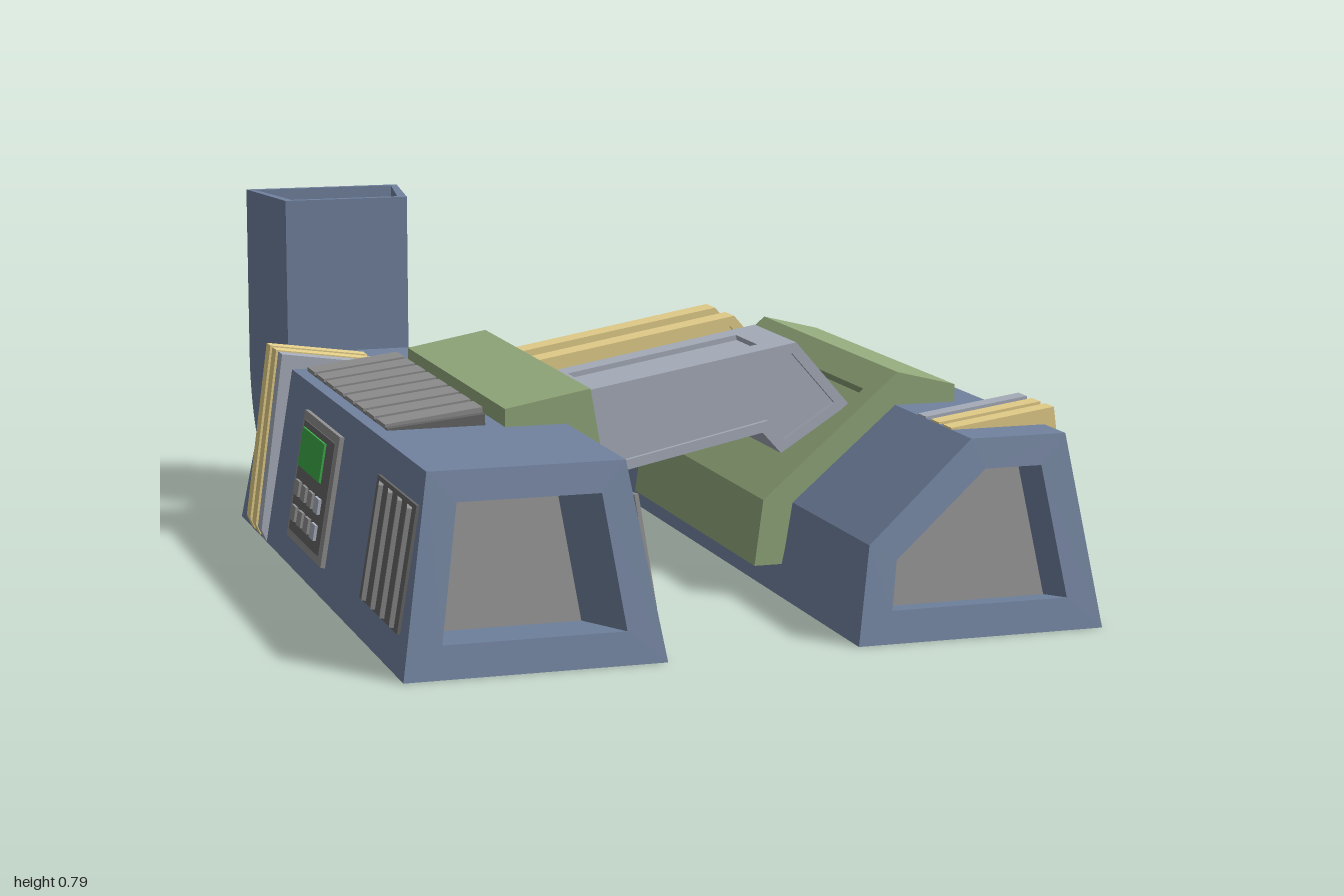
import * as THREE from 'three';

const HULL = 0x7183a0, DARK = 0x5f6c84, GREY = 0xa9b0bd, STEEL = 0x8f8f8f, VENT = 0x666666;
const GREEN = 0x93aa7c, YELLOW = 0xe8d28c, SCREEN = 0x3fae49;

function add(parent, name, geometry, color) {
  const material = new THREE.MeshStandardMaterial({ color, flatShading: true, side: THREE.DoubleSide });
  const mesh = new THREE.Mesh(geometry, material);
  mesh.name = name;
  parent.add(mesh);
  return mesh;
}

function group(parent, name) {
  const g = new THREE.Group();
  g.name = name;
  parent.add(g);
  return g;
}

function box(parent, name, color, size, pos) {
  const m = add(parent, name, new THREE.BoxGeometry(...size), color);
  m.position.set(...pos);
  return m;
}

// Convex polygons (lists of [x, y, z]) to a flat-shaded geometry
function polygons(faces) {
  const pos = [];
  for (const f of faces)
    for (let i = 1; i < f.length - 1; i++) pos.push(...f[0], ...f[i], ...f[i + 1]);
  const geo = new THREE.BufferGeometry();
  geo.setAttribute('position', new THREE.Float32BufferAttribute(pos, 3));
  geo.computeVertexNormals();
  return geo;
}

// Quads joining two rings of equal length
const bridge = (a, b) => a.map((p, i) => {
  const j = (i + 1) % a.length;
  return [p, a[j], b[j], b[i]];
});

// xy profile extruded from z0 to z1
function slab(parent, name, color, pts, z0, z1, hole) {
  const shape = new THREE.Shape(pts.map(p => new THREE.Vector2(...p)));
  if (hole) shape.holes.push(new THREE.Path(hole.map(p => new THREE.Vector2(...p))));
  const geo = new THREE.ExtrudeGeometry(shape, { depth: z1 - z0, bevelEnabled: false });
  return add(parent, name, geo.translate(0, 0, z0), color);
}

// Extrusion with a rectangular pocket sunk into one edge of its profile
function pocketSlab(parent, name, color, pts, edge, [t0, t1], depth, [z0, za, zb, z1]) {
  const a = pts[edge], b = pts[(edge + 1) % pts.length];
  const d = [b[0] - a[0], b[1] - a[1]], len = Math.hypot(...d);
  const at = (t, k) => [a[0] + d[0] * t - d[1] / len * k, a[1] + d[1] * t + d[0] / len * k];
  const cut = [...pts];
  cut.splice(edge + 1, 0, at(t0, 0), at(t0, depth), at(t1, depth), at(t1, 0));
  slab(parent, name + 'End', color, pts, z0, za);
  slab(parent, name + 'Pocket', color, cut, za, zb);
  slab(parent, name + 'End', color, pts, zb, z1);
}

// Hull with sloped ends; each end has a recess of the given depth
function hull(parent, name, profile, opening, depths, openBottom) {
  const g = group(parent, name), faces = [];
  const ring = (pts, s) => pts.map(([x, y]) => [x, y, s > 0 ? 1 - y / 6 : -0.7 + y / 6]);
  const sides = bridge(ring(profile, 1), ring(profile, -1)).map(([a, b, c, d]) => [a, d, c, b]);
  faces.push(...sides.slice(openBottom ? 1 : 0));
  for (const s of [1, -1]) {
    const depth = depths[s > 0 ? 0 : 1];
    const flip = list => s > 0 ? list : list.map(f => [...f].reverse());
    const rim = ring(opening, s);
    faces.push(...flip(bridge(ring(profile, s), rim)));
    if (!depth) continue;
    const deep = rim.map(([x, y, z]) => [x, y - depth / 6, z - s * depth]);
    faces.push(...flip(bridge(rim, deep)));
    add(g, s > 0 ? 'frontRecessPlate' : 'backRecessPlate', polygons(flip([deep])), STEEL);
  }
  add(g, name + 'Shell', polygons(faces), HULL);
}

// Hollow elbow duct with a trapezoid section, rising behind the hull
function duct(parent) {
  const shell = t => {
    const R = 0.295 - t, path = [[-0.685, 0.07 + t, -0.635, 0.355 - t]];
    for (let i = 0; i <= 12; i++) {
      const a = i / 12 * Math.PI / 2;
      path.push([-0.7 - R * Math.sin(a), 0.36 - R * Math.cos(a), -0.71 - t, 0.355 - t]);
    }
    path.push([-0.995 + t, 0.79, -0.71 - t, 0.79]);
    return path.map(([oz, oy, iz, iy]) => {
      const w = 0.1975 - t, n = 0.155 - t, c = -0.5025;
      return [[c - w, oy, oz], [c - n, iy, iz], [c + n, iy, iz], [c + w, oy, oz]];
    });
  };
  const outer = shell(0), inner = shell(0.02), faces = [];
  for (let i = 0; i < outer.length - 1; i++) {
    faces.push(...bridge(outer[i], outer[i + 1]));
    faces.push(...bridge(inner[i + 1], inner[i]));
  }
  faces.push(...bridge(outer.at(-1), inner.at(-1)));
  add(parent, 'exhaustDuct', polygons(faces), HULL);
}

// Arm between the hulls: solid core with a raised frame on both sides
function arm(parent, name, color, z0, z1, pocket) {
  const g = group(parent, name), t = 0.012;
  const outline = [[-0.225, 0.46], [-0.19, 0.26], [0.22, 0.345], [0.265, 0.295], [0.43, 0.4], [0.3, 0.55]];
  const hole = [[-0.2, 0.437], [-0.17, 0.287], [0.232, 0.372], [0.272, 0.326], [0.395, 0.405], [0.29, 0.525]];
  slab(g, name + 'Frame', color, outline, z0, z0 + t, hole);
  slab(g, name + 'Frame', color, outline, z1 - t, z1, hole);
  if (pocket) pocketSlab(g, name + 'Core', color, outline, 5, [0.133, 0.914], 0.012, [z0 + t, ...pocket, z1 - t]);
  else slab(g, name + 'Core', color, outline, z0 + t, z1 - t);
}

// Three straps hugging the outer edge of a hull
function straps(parent, name, place, zs) {
  const g = group(parent, name);
  const profile = [[0.485, 0.41], [0.7, 0.4], [0.765, 0], [0.772, 0], [0.785, 0.03], [0.727, 0.458], [0.485, 0.424]];
  zs.forEach((z, i) =>
    slab(g, 'strap', i ? YELLOW : GREY, profile.map(([x, y]) => [place(x), y]), z - 0.0225, z + 0.0225));
}

// Upright louvre panel lying on a sloped side wall
function sideVent(parent, name, x, side, lean) {
  const g = group(parent, name);
  g.position.set(x, 0.215, 0.75);
  g.rotation.z = lean;
  box(g, 'ventBack', VENT, [0.012, 0.27, 0.34], [0, 0, 0]);
  for (let i = 0; i < 4; i++) {
    const slat = box(g, 'ventSlat', STEEL, [0.01, 0.25, 0.07], [side * 0.008, 0, -0.125 + i * 0.083]);
    slat.rotation.y = side * 0.25;
  }
}

export function createModel() {
  const model = new THREE.Group();
  model.name = 'machine';

  // Hulls and duct
  hull(model, 'rightHull', [[-0.785, 0], [-0.22, 0], [-0.29, 0.42], [-0.715, 0.42]],
    [[-0.7, 0.07], [-0.305, 0.07], [-0.345, 0.355], [-0.655, 0.355]], [0.33, 0], true);
  hull(model, 'leftHull', [[0.205, 0], [0.77, 0], [0.705, 0.42], [0.485, 0.42], [0.24, 0.21]],
    [[0.285, 0.07], [0.69, 0.07], [0.645, 0.355], [0.515, 0.355], [0.3, 0.175]], [0.12, 0.02], false);
  duct(model);

  // Brackets with sunken windows facing each other
  pocketSlab(model, 'rightBracket', GREEN,
    [[-0.43, 0.4], [-0.28, 0.4], [-0.23, 0.07], [-0.16, 0.07], [-0.235, 0.495], [-0.43, 0.46]],
    3, [0.13, 0.88], 0.03, [-0.38, -0.32, 0.43, 0.5]);
  pocketSlab(model, 'leftBracket', GREEN,
    [[0.15, 0.07], [0.215, 0.07], [0.245, 0.21], [0.485, 0.41], [0.63, 0.41], [0.63, 0.46], [0.49, 0.495], [0.17, 0.22]],
    6, [0.17, 0.83], 0.03, [-0.38, -0.32, 0.43, 0.5]);

  // Connecting arms
  arm(model, 'wideArm', GREY, 0.075, 0.355, [0.14, 0.285]);
  arm(model, 'narrowArm', YELLOW, -0.275, -0.21);
  arm(model, 'narrowArm', YELLOW, -0.135, -0.07);

  // Straps
  straps(model, 'leftStraps', x => x, [0.658, 0.73, 0.8]);
  straps(model, 'rightStraps', x => -x - 0.012, [-0.41, -0.48, -0.55]);

  // Long cover plate on the outer left wall
  const cover = group(model, 'sideCover');
  cover.position.set(0.772, 0.0, 0);
  cover.rotation.set(0, Math.PI / 2, 0);
  const tilt = group(cover, 'coverTilt');
  tilt.rotation.x = -0.154;
  slab(tilt, 'coverRim', DARK, [[-0.63, 0.01], [0.68, 0.01], [0.625, 0.415], [-0.63, 0.415]], -0.01, 0.004);
  slab(tilt, 'coverPlate', GREY, [[-0.615, 0.025], [0.665, 0.025], [0.615, 0.405], [-0.61, 0.405]], 0, 0.015);

  // Louvres on top of the right hull
  const louvres = group(model, 'topVent');
  slab(louvres, 'louvreBase', VENT, [[-0.685, 0.415], [-0.465, 0.415], [-0.465, 0.445], [-0.685, 0.424]], -0.35, 0.465);
  for (let i = 0; i < 8; i++) {
    const z = -0.35 + i * 0.102;
    slab(louvres, 'louvre', STEEL, [[-0.685, 0.415], [-0.465, 0.415], [-0.465, 0.457], [-0.685, 0.43]], z, z + 0.08);
  }

  // Side louvres near the front of the right hull
  sideVent(model, 'outerVent', -0.75, -1, -0.165);
  sideVent(model, 'innerVent', -0.256, 1, 0.165);

  // Control panel on the outer right wall
  const panel = group(model, 'controlPanel');
  panel.position.set(-0.752, 0.215, 0.035);
  panel.rotation.z = -0.165;
  box(panel, 'panelPlate', STEEL, [0.016, 0.3, 0.37], [0, 0, 0]);
  box(panel, 'panelInset', VENT, [0.01, 0.26, 0.32], [-0.006, 0, 0]);
  box(panel, 'screen', SCREEN, [0.012, 0.09, 0.23], [-0.01, 0.07, -0.03]);
  for (let i = 0; i < 8; i++)
    box(panel, 'button', i % 4 === 3 ? GREY : STEEL, [0.016, 0.035, 0.045],
      [-0.01, i < 4 ? -0.025 : -0.085, -0.115 + (i % 4) * 0.07]);

  return model;
}
